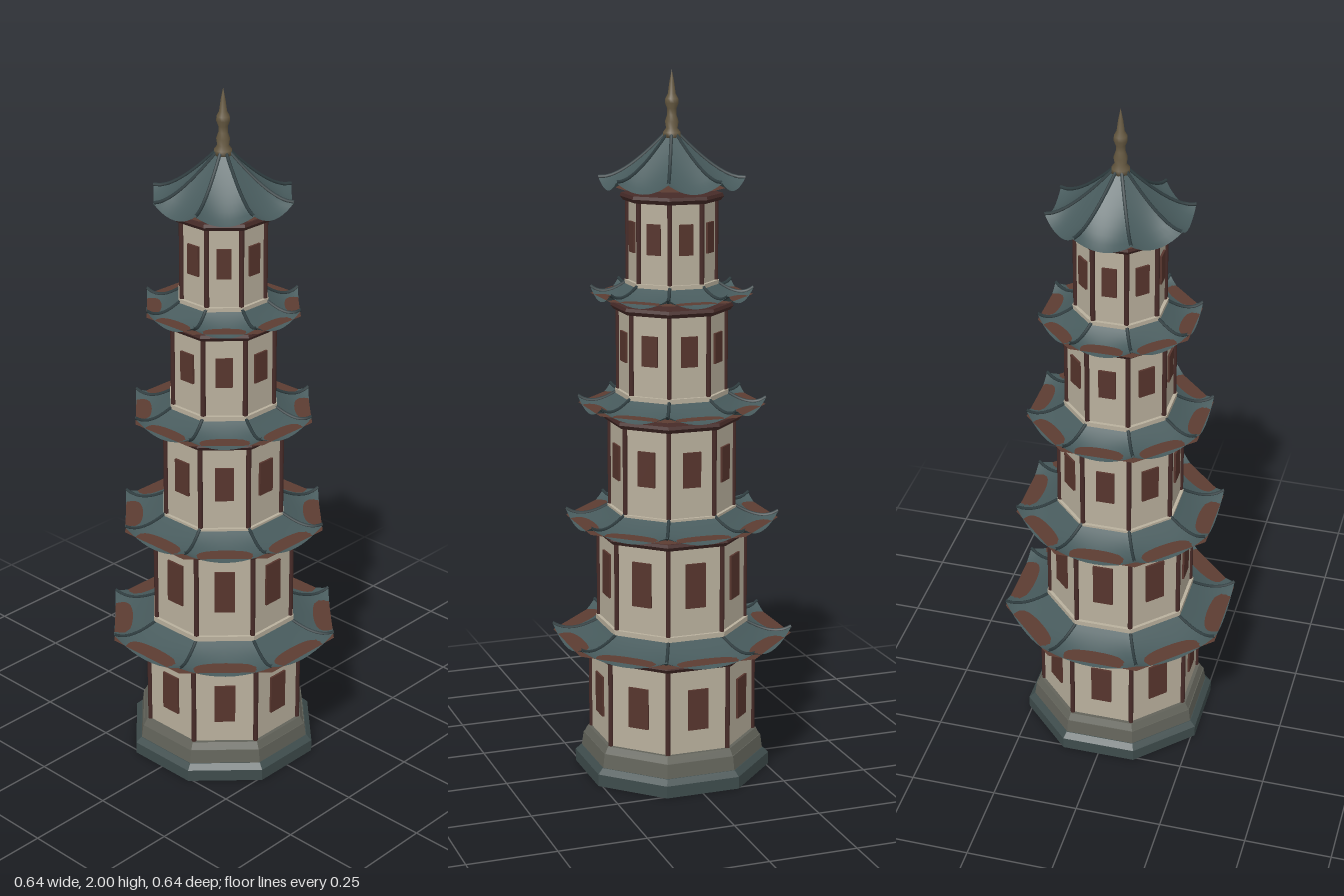
import * as THREE from 'three';

const mat = (name, color, side = THREE.FrontSide) => {
  const m = new THREE.MeshStandardMaterial({ color, side });
  m.name = name;
  return m;
};
const K = Math.cos(Math.PI / 8);        // apothem / corner radius of an octagon
const T = Math.tan(Math.PI / 8);        // half side / apothem

// Eight-sided prism or frustum, sized by apothem, one flat side facing the front
function octagon(bottom, top, y0, y1) {
  const g = new THREE.CylinderGeometry(top / K, bottom / K, y1 - y0, 8).toNonIndexed();
  g.rotateY(Math.PI / 8);
  g.translate(0, (y0 + y1) / 2, 0);
  g.computeVertexNormals();
  return g;
}

// Sagging tiled roof: low in the middle of each eave, lifted at the corners
function roofHeight(r, t, u) {
  return r.eaveY + r.rise * Math.pow(1 - t, r.power) + r.lift * t * t * t * u * u;
}

function roofPanel(r) {
  const nu = 10, nt = 8, pos = [], idx = [];
  for (let j = 0; j <= nt; j++) {
    const t = j / nt, a = r.inner + (r.outer - r.inner) * t;
    for (let i = 0; i <= nu; i++) {
      const u = (i / nu) * 2 - 1;
      pos.push(u * a * T, roofHeight(r, t, u), a);
    }
  }
  for (let j = 0; j < nt; j++) {
    for (let i = 0; i < nu; i++) {
      const a = j * (nu + 1) + i, b = a + nu + 1;
      idx.push(a, b, b + 1, a, b + 1, a + 1);
    }
  }
  const g = new THREE.BufferGeometry();
  g.setAttribute('position', new THREE.Float32BufferAttribute(pos, 3));
  g.setIndex(idx);
  g.computeVertexNormals();
  return g;
}

function ridge(r) {
  const pts = [];
  for (let j = 0; j <= 8; j++) {
    const t = j / 8, a = r.inner + (r.outer - r.inner) * t;
    pts.push(new THREE.Vector3(a * T, roofHeight(r, t, 1) + 0.002, a));
  }
  return new THREE.TubeGeometry(new THREE.CatmullRomCurve3(pts), 12, 0.005, 5);
}

export function createModel() {
  const model = new THREE.Group();
  model.name = 'pagoda';
  const plaster = mat('plaster', 0xb9b09d);
  const tile = mat('roofTile', 0x475a5c, THREE.DoubleSide);
  const ridgeTile = mat('ridgeTile', 0x2f3d40);
  const soffitWood = mat('soffitWood', 0x5c3c32, THREE.DoubleSide);
  const windowWood = mat('windowWood', 0x57352d);
  const darkWood = mat('darkWood', 0x472b28);
  const stone = mat('stone', 0x62635a);
  const plinth = mat('plinthStone', 0x3e4c4c);
  const bronze = mat('bronze', 0x675a42);

  const add = (parent, name, geometry, material) => {
    const mesh = new THREE.Mesh(geometry, material);
    mesh.name = name;
    parent.add(mesh);
    return mesh;
  };
  const group = (name) => {
    const g = new THREE.Group();
    g.name = name;
    model.add(g);
    return g;
  };
  // Repeat a part around the eight sides
  const around = (parent, name, geometry, material) => {
    for (let k = 0; k < 8; k++) add(parent, name, geometry, material).rotation.y = k * Math.PI / 4;
  };

  // Stepped base
  const base = group('base');
  add(base, 'lowerPlinth', octagon(0.26, 0.26, 0, 0.035), plinth);
  add(base, 'plinthSlope', octagon(0.26, 0.245, 0.035, 0.05), plinth);
  add(base, 'stoneStep', octagon(0.243, 0.238, 0.05, 0.09), stone);
  add(base, 'upperStep', octagon(0.236, 0.226, 0.09, 0.11), stone);

  // Storeys: half width, bottom, top, window half width, window bottom and top
  const storeys = [
    [0.216, 0.105, 0.375, 0.030, 0.177, 0.295],
    [0.193, 0.435, 0.72, 0.029, 0.527, 0.655],
    [0.162, 0.765, 1.045, 0.026, 0.865, 0.965],
    [0.139, 1.10, 1.36, 0.024, 1.20, 1.285],
    [0.113, 1.41, 1.665, 0.020, 1.505, 1.59],
  ];
  storeys.forEach(([a, y0, y1, w, wy0, wy1], i) => {
    const s = group('storey' + (i + 1));
    add(s, 'wall', octagon(a, a, y0, y1 - 0.01), plaster);
    if (i > 0) add(s, 'floorLedge', octagon(a + 0.009, a + 0.009, y0, y0 + 0.014), plaster);
    add(s, 'cornice', octagon(a + 0.012, a + 0.02, y1 - 0.02, y1 - 0.009), darkWood);
    add(s, 'corniceTop', octagon(a + 0.02, a + 0.017, y1 - 0.009, y1), darkWood);

    const post = new THREE.CylinderGeometry(0.007, 0.007, y1 - 0.01 - y0, 8);
    post.translate(a * T, (y0 + y1 - 0.01) / 2, a);
    around(s, 'cornerPost', post, darkWood);

    const pane = new THREE.BoxGeometry(w * 2, wy1 - wy0, 0.008);
    pane.translate(0, (wy0 + wy1) / 2, a + 0.002);
    around(s, 'window', pane, windowWood);
  });

  // Roofs: four skirts and the pointed top roof
  const skirt = (outer, inner, y) => ({
    outer, inner, eaveY: y - 0.012, rise: 0.045, power: 1.6, lift: 0.03,
    soffitY: y, soffitOuter: outer * 0.997, soffitInner: inner - 0.01,
  });
  const roofs = [
    skirt(0.318, 0.196, 0.40),
    skirt(0.280, 0.165, 0.743),
    skirt(0.245, 0.142, 1.072),
    skirt(0.210, 0.116, 1.384),
    { outer: 0.187, inner: 0.012, eaveY: 1.678, rise: 0.152, power: 1.28, lift: 0.028,
      soffitY: 1.684, soffitOuter: 0.16, soffitInner: 0.01 },
  ];
  roofs.forEach((r, i) => {
    const g = group('roof' + (i + 1));
    around(g, 'roofPanel', roofPanel(r), tile);
    around(g, 'ridge', ridge(r), ridgeTile);
    const soffit = new THREE.RingGeometry(r.soffitInner / K, r.soffitOuter / K, 8, 1, Math.PI / 8);
    soffit.rotateX(-Math.PI / 2);
    soffit.translate(0, r.soffitY, 0);
    add(g, 'soffit', soffit, soffitWood);
  });

  // Turned finial
  const profile = [
    [0, 1.815], [0.025, 1.815], [0.025, 1.83], [0.016, 1.842], [0.019, 1.86], [0.013, 1.878],
    [0.013, 1.895], [0.019, 1.91], [0.018, 1.922], [0.011, 1.935], [0.007, 1.965], [0, 2],
  ].map(([x, y]) => new THREE.Vector2(x, y));
  add(model, 'finial', new THREE.LatheGeometry(profile, 12), bronze);

  return model;
}
